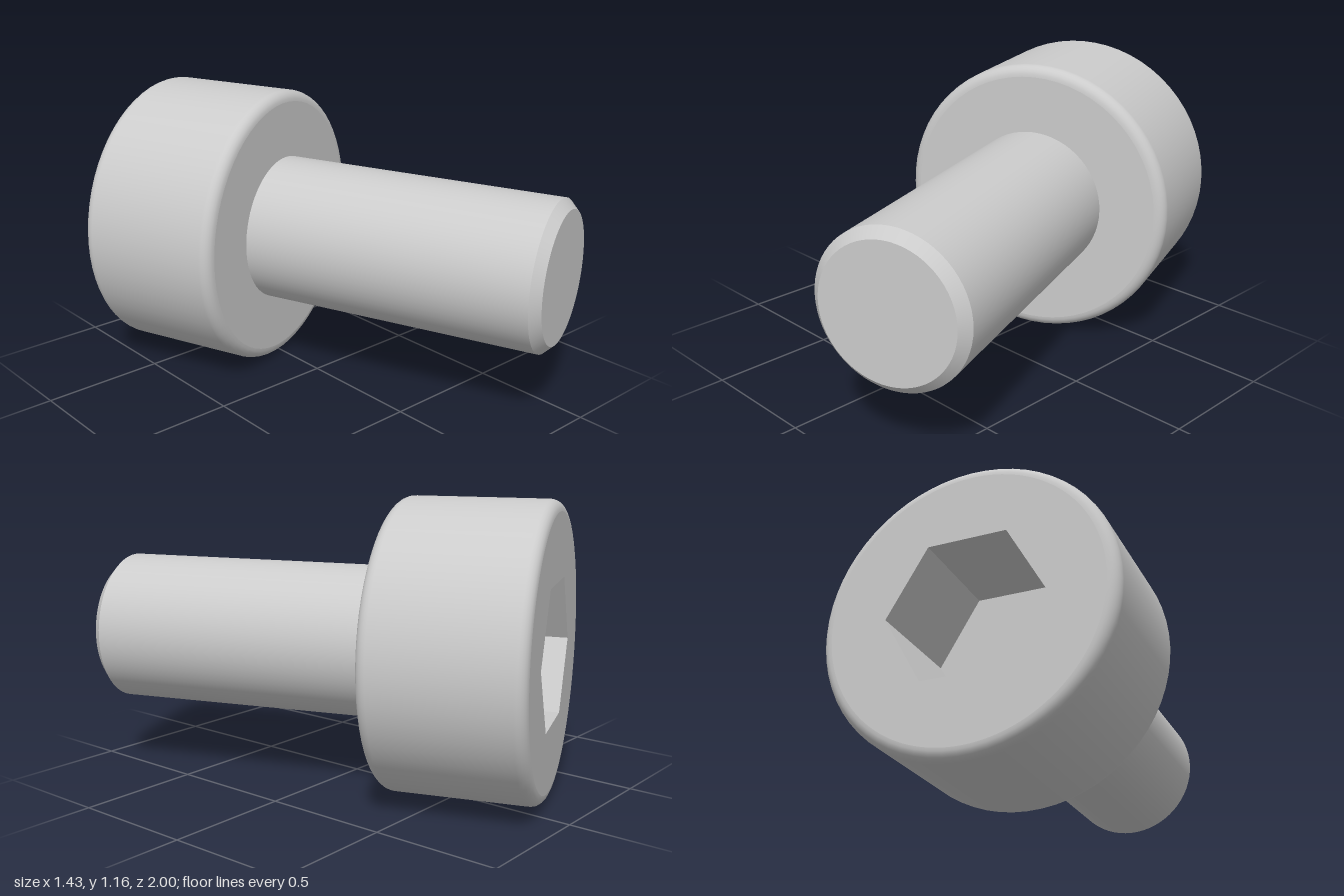
import * as THREE from 'three';

const SEG = 64;
const HEAD_R = 0.58, HEAD_H = 0.61, FILLET = 0.045;
const SHAFT_R = 0.303, SHAFT_L = 1.222, CHAMFER = 0.038;
const HEX_R = 0.313, HEX_DEPTH = 0.42;

export function createModel() {
  const material = new THREE.MeshStandardMaterial({ color: 0xcccccc });
  const bolt = new THREE.Group();
  bolt.name = 'bolt';

  const add = (name, geometry) => {
    const mesh = new THREE.Mesh(geometry, material);
    mesh.name = name;
    bolt.add(mesh);
  };
  // Surface of revolution about z; points are [radius, z] with z rising
  const turned = (name, points) =>
    add(name, new THREE.LatheGeometry(points.map(p => new THREE.Vector2(...p)), SEG).rotateX(Math.PI / 2));

  // Head: side wall with a rounded rim at both ends
  const side = [];
  const inner = HEAD_R - FILLET;
  for (const [z, start] of [[-HEAD_H + FILLET, -Math.PI / 2], [-FILLET, 0]]) {
    for (let i = 0; i <= 6; i++) {
      const a = start + (i / 6) * Math.PI / 2;
      side.push([inner + FILLET * Math.cos(a), z + FILLET * Math.sin(a)]);
    }
  }
  turned('headSide', side);
  turned('headUnderside', [[inner, 0], [SHAFT_R, 0]]);

  // Head face, pierced by the hexagonal socket
  const face = new THREE.Shape().absarc(0, 0, inner, 0, Math.PI * 2);
  const hex = [];
  for (let i = 0; i < 6; i++) {
    const a = -i * Math.PI / 3;
    hex.push(new THREE.Vector2(HEX_R * Math.cos(a), HEX_R * Math.sin(a)));
  }
  face.holes.push(new THREE.Path(hex));
  add('headFace', new THREE.ShapeGeometry(face, SEG).rotateX(Math.PI).translate(0, 0, -HEAD_H));

  // Socket walls, mirrored so they face inward, and the flat floor
  const walls = new THREE.CylinderGeometry(HEX_R, HEX_R, HEX_DEPTH, 6, 1, true, Math.PI / 2)
    .rotateX(Math.PI / 2).scale(-1, 1, 1)
    .translate(0, 0, -HEAD_H + HEX_DEPTH / 2).toNonIndexed();
  walls.computeVertexNormals();
  add('socketWalls', walls);
  add('socketFloor', new THREE.CircleGeometry(HEX_R, 6).rotateX(Math.PI).translate(0, 0, -HEAD_H + HEX_DEPTH));

  // Plain shaft with a chamfered tip
  const tipR = SHAFT_R - CHAMFER;
  turned('shaft', [[SHAFT_R, 0], [SHAFT_R, SHAFT_L - CHAMFER]]);
  turned('tipChamfer', [[SHAFT_R, SHAFT_L - CHAMFER], [tipR, SHAFT_L]]);
  turned('tipFace', [[tipR, SHAFT_L], [0, SHAFT_L]]);

  // Lying level, turned 20 degrees to the side
  bolt.rotation.y = THREE.MathUtils.degToRad(20);
  bolt.position.set(0.022, HEAD_R, -0.24);

  const model = new THREE.Group();
  model.name = 'socketHeadBolt';
  model.add(bolt);
  return model;
}
